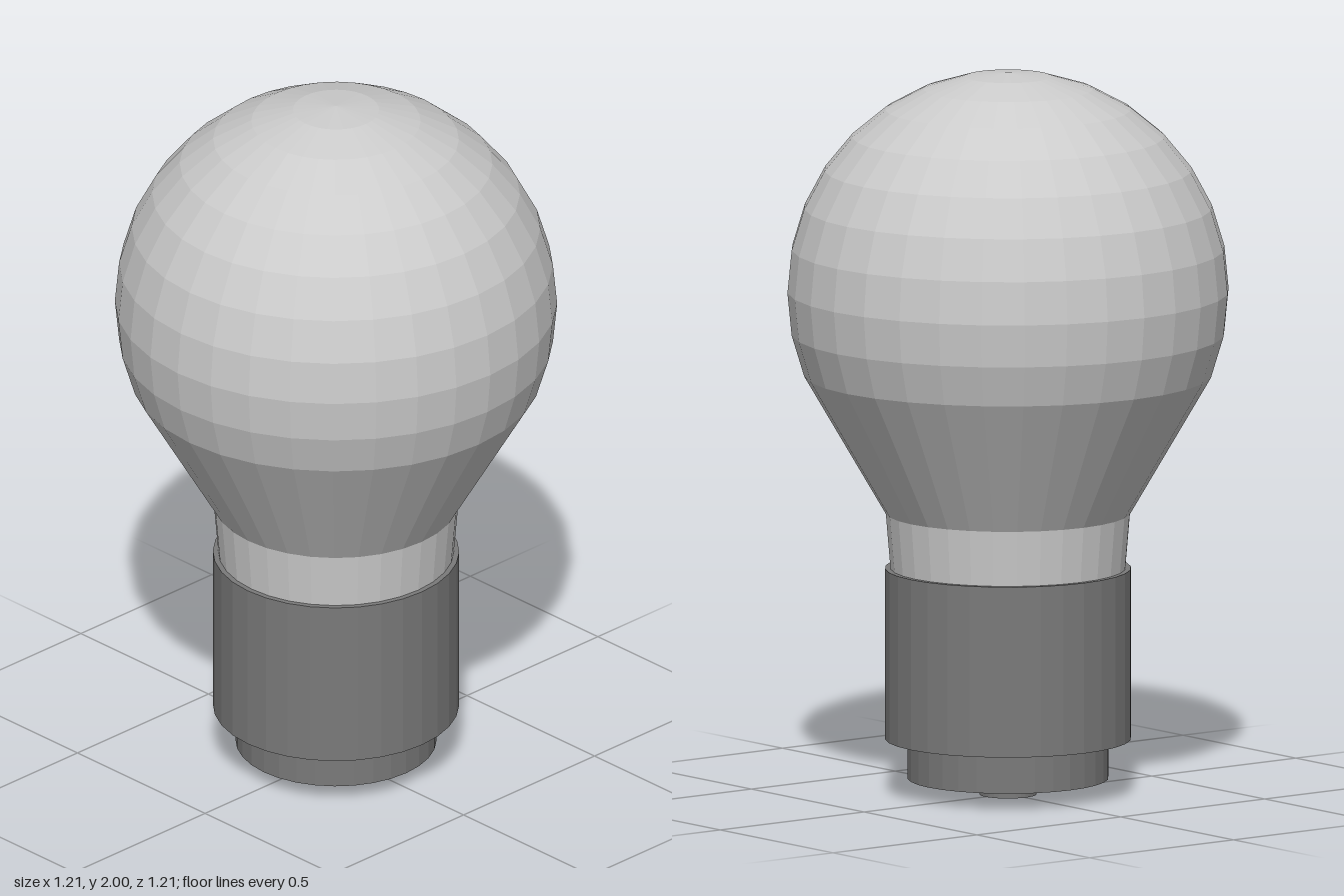
import * as THREE from 'three';

const SIDES = 32;

export function createModel() {
  const group = new THREE.Group();
  const glassMat = new THREE.MeshStandardMaterial({ color: 0xcccccc, flatShading: true });
  const baseMat = new THREE.MeshStandardMaterial({ color: 0x7a7a7a, flatShading: true });

  // Turned part from a profile of [radius, height], listed bottom to top
  const turn = (name, profile, material) => {
    const points = profile.map(([r, y]) => new THREE.Vector2(r, y));
    const mesh = new THREE.Mesh(new THREE.LatheGeometry(points, SIDES), material);
    mesh.name = name;
    group.add(mesh);
  };

  // Glass bulb: neck, flare, then a round dome in even angular steps
  const radius = 0.605, centreY = 1.395, step = Math.PI / 16;
  const glass = [[0, 0.6], [0.32, 0.6], [0.335, 0.78]];
  for (let i = -2; i <= 8; i++) {
    glass.push([i === 8 ? 0 : radius * Math.cos(i * step), centreY + radius * Math.sin(i * step)]);
  }
  turn('glassBulb', glass, glassMat);

  // Socket base: main sleeve, stepped collar and end contact
  turn('baseSleeve', [[0, 0.155], [0.337, 0.155], [0.337, 0.627], [0, 0.627]], baseMat);
  turn('baseCollar', [[0, 0.035], [0.078, 0.037], [0.275, 0.045], [0.275, 0.16]], baseMat);
  turn('endContact', [[0, 0], [0.078, 0], [0.078, 0.045]], baseMat);

  return group;
}
